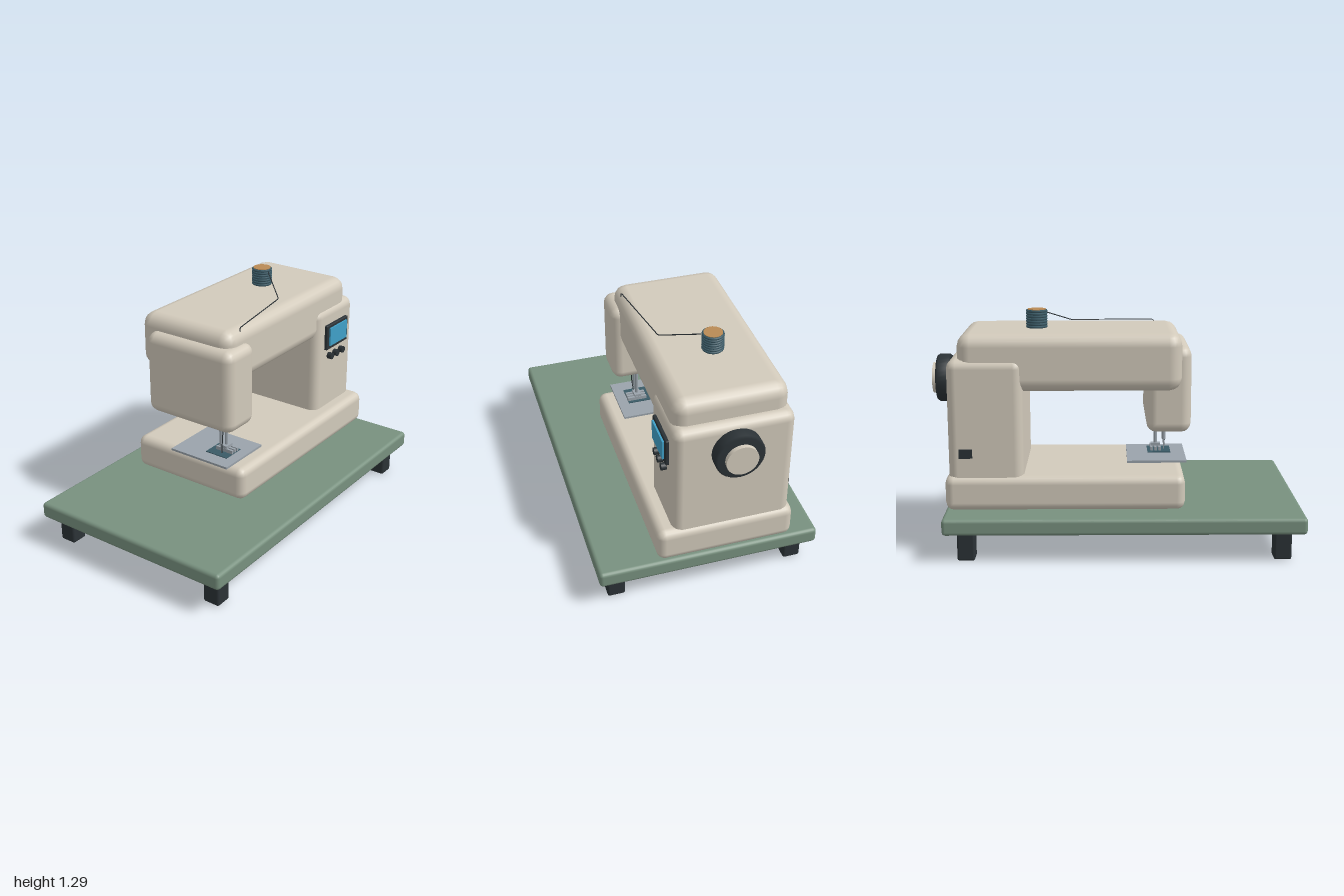
import * as THREE from 'three';
import { RoundedBoxGeometry } from 'three/addons/geometries/RoundedBoxGeometry.js';

const paint = (color) => new THREE.MeshStandardMaterial({ color });

export function createModel() {
  const model = new THREE.Group();
  const cream = paint(0xd2cabb), green = paint(0x78917f), dark = paint(0x2b3236);
  const steel = paint(0x9aa3ab), blue = paint(0x3fa0c8), teal = paint(0x3a5a66);
  const copper = paint(0xb98a55);

  const add = (name, geometry, material, x = 0, y = 0, z = 0) => {
    const mesh = new THREE.Mesh(geometry, material);
    mesh.name = name;
    mesh.position.set(x, y, z);
    model.add(mesh);
    return mesh;
  };
  // Box given by its limits on each axis, rounded when r > 0
  const box = (name, material, [x0, x1], [y0, y1], [z0, z1], r = 0) => {
    const s = [x1 - x0, y1 - y0, z1 - z0];
    const geometry = r ? new RoundedBoxGeometry(...s, 2, r) : new THREE.BoxGeometry(...s);
    return add(name, geometry, material, (x0 + x1) / 2, (y0 + y1) / 2, (z0 + z1) / 2);
  };

  // Table
  box('tableTop', green, [-1, 0.92], [0.155, 0.245], [-0.6, 0.6], 0.02);
  for (const x of [-0.88, 0.8])
    for (const z of [-0.497, 0.497])
      box('tableLeg', dark, [x - 0.047, x + 0.047], [0, 0.165], [z - 0.048, z + 0.048], 0.012);

  // Machine body
  box('base', cream, [-0.365, 0.915], [0.245, 0.435], [-0.455, 0.285], 0.045);
  box('column', cream, [0.495, 0.895], [0.36, 1.057], [-0.435, 0.2], 0.05);
  box('arm', cream, [-0.345, 0.84], [0.88, 1.19], [-0.42, 0.185], 0.07);
  box('head', cream, [-0.4, -0.16], [0.64, 1.11], [-0.34, 0.23], 0.055);

  // Handwheel with a softened rim, lying along x
  const wheelProfile = [[0, 0], [0.12, 0], [0.13, 0.012], [0.13, 0.068], [0.12, 0.08], [0, 0.08]]
    .map(([r, h]) => new THREE.Vector2(r, h));
  const wheel = add('handwheel', new THREE.LatheGeometry(wheelProfile, 32), dark, 0.897, 0.91, -0.116);
  wheel.rotation.z = -Math.PI / 2;
  const hub = add('handwheelHub', new THREE.CylinderGeometry(0.084, 0.084, 0.04, 32), cream, 0.98, 0.91, -0.116);
  hub.rotation.z = -Math.PI / 2;

  // Display and buttons
  box('displayFrame', dark, [0.58, 0.81], [0.805, 0.957], [0.19, 0.218], 0.006);
  box('display', blue, [0.602, 0.785], [0.83, 0.94], [0.2, 0.228]);
  for (const x of [0.63, 0.692, 0.755]) {
    const button = add('button', new THREE.CylinderGeometry(0.02, 0.02, 0.03, 20), dark, x, 0.757, 0.213);
    button.rotation.x = Math.PI / 2;
  }

  // Power socket on the back
  box('powerSocket', dark, [0.765, 0.835], [0.535, 0.582], [-0.447, -0.425]);

  // Needle plate, needle bar and presser foot
  box('needlePlate', steel, [-0.39, -0.06], [0.437, 0.449], [-0.18, 0.2]);
  box('feedPlate', teal, [-0.31, -0.18], [0.445, 0.453], [0, 0.14]);
  add('needleBar', new THREE.CylinderGeometry(0.011, 0.011, 0.16, 12), steel, -0.275, 0.59, 0.08);
  add('needle', new THREE.CylinderGeometry(0.006, 0.002, 0.08, 8), steel, -0.275, 0.48, 0.08);
  add('presserBar', new THREE.CylinderGeometry(0.009, 0.009, 0.19, 12), steel, -0.227, 0.57, 0.08);
  box('presserAnkle', steel, [-0.255, -0.2], [0.468, 0.488], [0.06, 0.1]);
  for (const x of [-0.25, -0.227, -0.204])
    box('presserToe', steel, [x - 0.007, x + 0.007], [0.453, 0.473], [0.03, 0.14]);

  // Spool with wound ribs
  add('spoolCore', new THREE.CylinderGeometry(0.053, 0.053, 0.1, 24), teal, 0.43, 1.238, -0.147);
  for (let i = 0; i < 7; i++) {
    const winding = add('spoolWinding', new THREE.TorusGeometry(0.052, 0.007, 6, 24), teal, 0.43, 1.197 + i * 0.014, -0.147);
    winding.rotation.x = Math.PI / 2;
  }
  add('spoolCap', new THREE.CylinderGeometry(0.05, 0.05, 0.006, 24), copper, 0.43, 1.288, -0.147);

  // Thread runs: spool to head, and head to needle
  const thread = (points) => {
    const path = new THREE.CurvePath();
    const v = points.map((p) => new THREE.Vector3(...p));
    for (let i = 1; i < v.length; i++) path.add(new THREE.LineCurve3(v[i - 1], v[i]));
    add('thread', new THREE.TubeGeometry(path, 60, 0.003, 5), dark);
  };
  thread([[0.41, 1.275, -0.09], [0.25, 1.2, 0.09], [-0.215, 1.192, 0.163], [-0.215, 1.09, 0.165]]);
  thread([[-0.265, 0.65, 0.095], [-0.285, 0.55, 0.095], [-0.275, 0.452, 0.085]]);

  return model;
}
